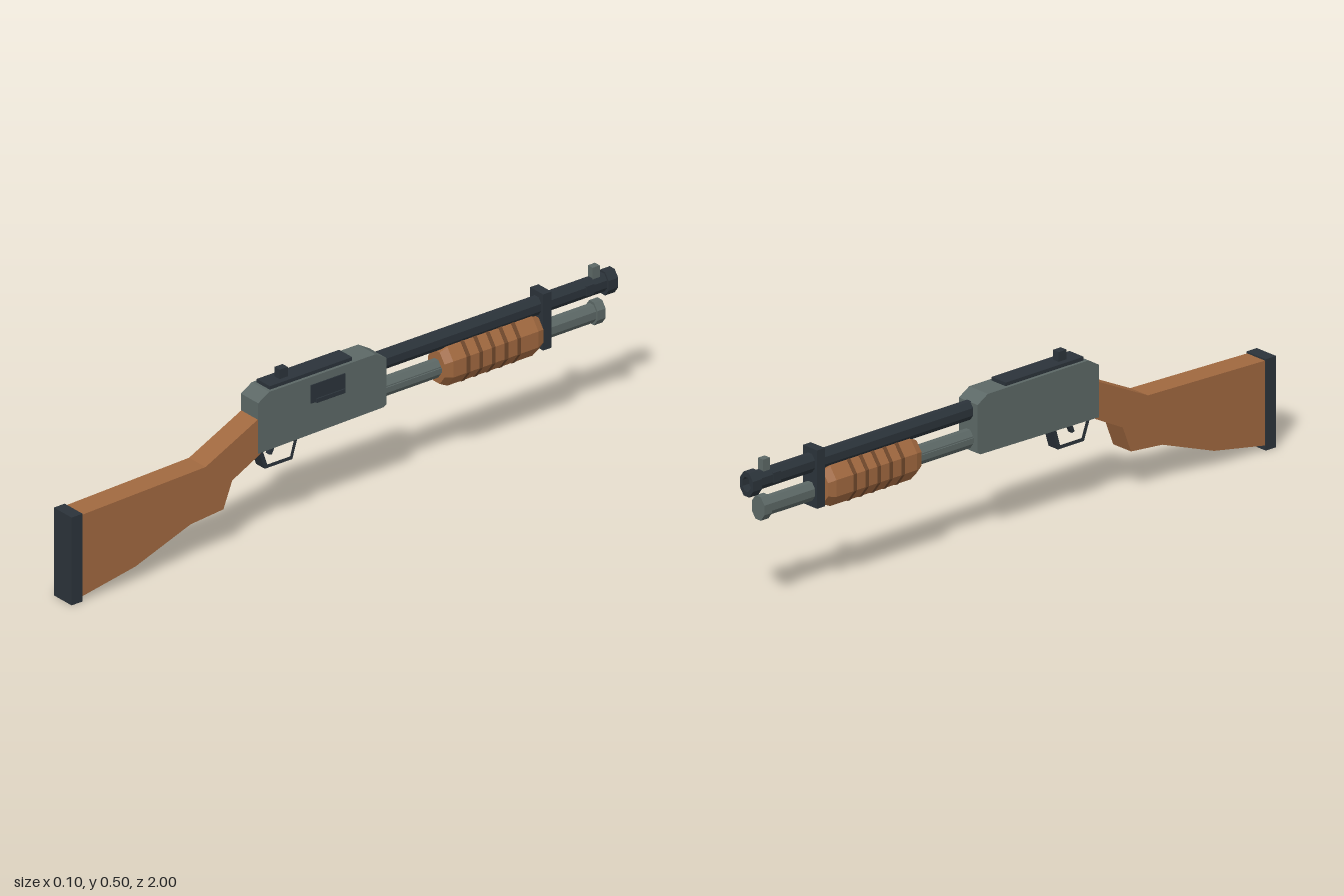
import * as THREE from 'three';

const mat = (color) => new THREE.MeshStandardMaterial({ color, flatShading: true });

export function createModel() {
  const model = new THREE.Group();
  const wood = mat(0xa0683f), darkWood = mat(0x70482c);
  const steel = mat(0x5c6866), black = mat(0x2b333a);
  const FLATTEN = 0.75; // round parts are narrower than tall

  const add = (name, geometry, material) => {
    const mesh = new THREE.Mesh(geometry, material);
    mesh.name = name;
    model.add(mesh);
    return mesh;
  };

  // Box given by its limits on each axis
  const box = (name, material, [x0, x1], [y0, y1], [z0, z1]) =>
    add(name, new THREE.BoxGeometry(x1 - x0, y1 - y0, z1 - z0), material)
      .position.set((x0 + x1) / 2, (y0 + y1) / 2, (z0 + z1) / 2);

  // Side profile in (z, y), extruded evenly across x
  const slab = (name, material, halfWidth, points, hole) => {
    const toVec = (list) => list.map(([z, y]) => new THREE.Vector2(z, y));
    const shape = new THREE.Shape(toVec(points));
    if (hole) shape.holes.push(new THREE.Path(toVec(hole)));
    const g = new THREE.ExtrudeGeometry(shape, { depth: halfWidth * 2, bevelEnabled: false });
    g.translate(0, 0, -halfWidth).rotateY(-Math.PI / 2);
    return add(name, g, material);
  };

  // Eight-sided turned part along z; profile is (half height, z), z rising
  const turned = (name, material, y, profile) => {
    const k = 1 / Math.cos(Math.PI / 8);
    const pts = profile.map(([r, z]) => new THREE.Vector2(r * k, z));
    const g = new THREE.LatheGeometry(pts, 8, Math.PI / 8);
    g.rotateX(Math.PI / 2).scale(FLATTEN, 1, 1);
    g.translate(0, y, 0);
    return add(name, g, material);
  };
  const rod = (name, material, y, r, z0, z1) =>
    turned(name, material, y, [[0, z0], [r, z0], [r, z1], [0, z1]]);

  // Stock and butt pad
  slab('stock', wood, 0.038, [
    [0.965, 0.275], [0.51, 0.288], [0.31, 0.385], [0.31, 0.268], [0.413, 0.215],
    [0.445, 0.133], [0.565, 0.122], [0.765, 0.05], [0.965, 0.014],
  ]);
  box('buttPad', black, [-0.041, 0.041], [0, 0.28], [0.96, 1]);

  // Receiver, top rail and rear sight
  slab('receiver', steel, 0.04, [
    [0.32, 0.272], [0.32, 0.433], [0.28, 0.457], [-0.107, 0.457],
    [-0.147, 0.433], [-0.147, 0.285], [-0.135, 0.279],
  ]);
  box('topRail', black, [-0.03, 0.03], [0.45, 0.468], [-0.03, 0.27]);
  box('rearSight', black, [-0.012, 0.012], [0.465, 0.498], [0.19, 0.22]);

  // Ejection port on the left side
  box('ejectionPort', black, [0.03, 0.043], [0.374, 0.432], [0.005, 0.13]);
  box('portShelf', black, [0.03, 0.047], [0.372, 0.385], [0.008, 0.112]);

  // Trigger and guard
  slab('triggerGuard', black, 0.02,
    [[0.308, 0.28], [0.28, 0.204], [0.18, 0.204], [0.157, 0.28]],
    [[0.293, 0.278], [0.271, 0.215], [0.188, 0.215], [0.17, 0.278]]);
  slab('trigger', black, 0.008, [[0.238, 0.28], [0.222, 0.28], [0.245, 0.234], [0.255, 0.237]]);

  // Barrel with hollow muzzle collar
  rod('barrel', black, 0.407, 0.028, -0.97, -0.14);
  turned('muzzle', black, 0.404, [
    [0, -0.975], [0.022, -0.975], [0.022, -1], [0.037, -1], [0.037, -0.965], [0, -0.965],
  ]);
  box('barrelLug', black, [-0.024, 0.024], [0.393, 0.424], [-0.917, -0.888]);
  box('frontSight', steel, [-0.011, 0.011], [0.425, 0.469], [-0.946, -0.92]);

  // Magazine tube, end cap and the clamp joining it to the barrel
  rod('magazineTube', steel, 0.32, 0.028, -0.94, -0.14);
  rod('magazineCap', steel, 0.32, 0.036, -0.955, -0.925);
  box('barrelClamp', black, [-0.03, 0.03], [0.273, 0.452], [-0.755, -0.725]);

  // Action bars on both sides of the tube
  for (const s of [-1, 1]) {
    const x = s * 0.021;
    box('actionBar', steel, [x - 0.004, x + 0.004], [0.313, 0.328], [-0.4, -0.14]);
  }

  // Sliding fore-end with ribs
  turned('foreEnd', wood, 0.324, [
    [0, -0.72], [0.05, -0.72], [0.0615, -0.695], [0.0615, -0.385], [0.05, -0.36], [0, -0.36],
  ]);
  for (let i = 0; i < 5; i++) {
    const z = -0.44 - i * 0.046;
    rod('foreEndRib', darkWood, 0.324, 0.0635, z - 0.006, z + 0.006);
  }
  return model;
}
